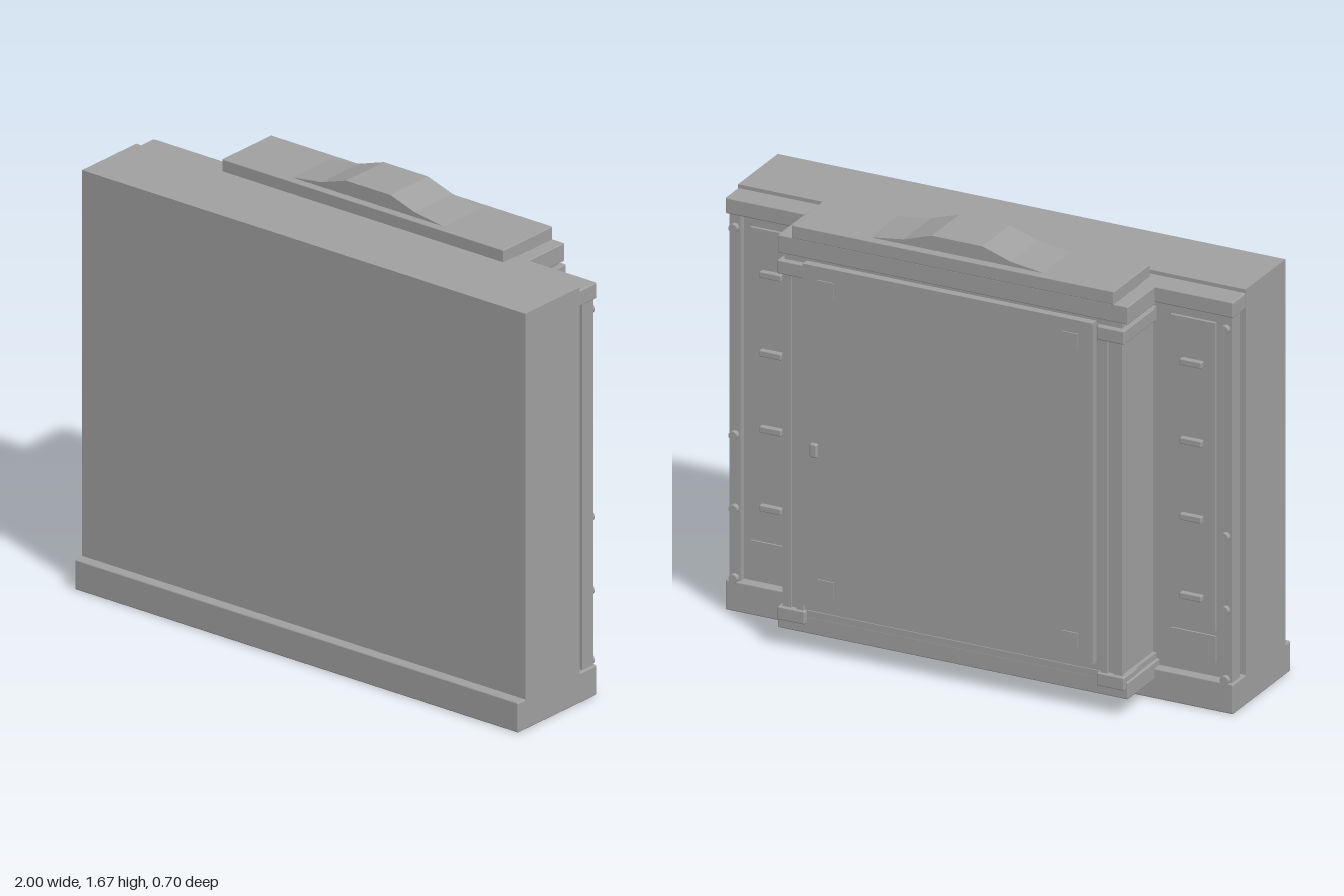
import * as THREE from 'three';
import { RoundedBoxGeometry } from 'three/addons/geometries/RoundedBoxGeometry.js';

export function createModel() {
  const model = new THREE.Group();
  model.name = 'wallCabinet';
  const grey = new THREE.MeshStandardMaterial({ color: 0xa0a0a0 });
  grey.name = 'grey';

  const add = (name, geometry) => {
    const mesh = new THREE.Mesh(geometry, grey);
    mesh.name = name;
    model.add(mesh);
    return mesh;
  };
  // Block given by its limits on each axis; radius softens the edges
  const block = (name, [x0, x1], [y0, y1], [z0, z1], radius = 0) => {
    const size = [x1 - x0, y1 - y0, z1 - z0];
    const g = radius ? new RoundedBoxGeometry(...size, 2, radius) : new THREE.BoxGeometry(...size);
    const mesh = add(name, g);
    mesh.position.set((x0 + x1) / 2, (y0 + y1) / 2, (z0 + z1) / 2);
    return mesh;
  };
  // Same block on both sides of the middle
  const pair = (name, [x0, x1], y, z, radius) => {
    block(name + 'Left', [x0, x1], y, z, radius);
    block(name + 'Right', [-x1, -x0], y, z, radius);
  };

  // Main wall, plinth and rear cornice
  block('wall', [-1, 1], [0.1, 1.583], [0.01, 0.31]);
  block('plinth', [-1, 1], [0, 0.115], [-0.087, 0.35], 0.006);
  block('rearCornice', [-1, 1], [1.51, 1.57], [-0.087, 0.012], 0.005);
  block('rearWall', [-0.975, 0.975], [0.11, 1.515], [-0.05, 0.012]);

  // Wings: edge posts, inset panels, grips and studs
  pair('edgePost', [0.945, 0.99], [0.11, 1.512], [-0.076, -0.016]);
  pair('wingPanel', [0.74, 0.915], [0.29, 1.465], [-0.062, -0.04]);
  pair('lowerWingPanel', [0.74, 0.915], [0.17, 0.27], [-0.057, -0.04]);
  for (const y of [0.41, 0.71, 1.0, 1.3])
    pair('wingGrip', [0.785, 0.87], [y - 0.012, y + 0.012], [-0.081, -0.055], 0.004);
  for (const y of [0.125, 0.39, 0.67, 1.46]) {
    for (const side of [-1, 1]) {
      const stud = add('stud', new THREE.CylinderGeometry(0.017, 0.017, 0.022, 12));
      stud.rotation.x = Math.PI / 2;
      stud.position.set(side * 0.967, y, -0.084);
    }
  }

  // Projecting centre cabinet with its ledges
  block('cabinetBody', [-0.665, 0.665], [0.12, 1.52], [-0.283, -0.04]);
  block('bottomLedge', [-0.69, 0.69], [0.072, 0.138], [-0.287, -0.04], 0.005);
  block('bottomStep', [-0.68, 0.68], [0.135, 0.16], [-0.287, -0.04]);
  block('upperBand', [-0.68, 0.68], [1.43, 1.48], [-0.289, -0.04]);
  block('upperLedge', [-0.69, 0.69], [1.5, 1.568], [-0.287, -0.04], 0.004);
  pair('upperCornerBlock', [0.575, 0.683], [1.428, 1.48], [-0.304, -0.07], 0.005);
  pair('lowerCornerBlock', [0.575, 0.683], [0.11, 0.16], [-0.304, -0.2], 0.005);
  pair('outerColumn', [0.635, 0.668], [0.155, 1.435], [-0.291, -0.27]);
  pair('innerColumn', [0.585, 0.612], [0.155, 1.435], [-0.295, -0.27]);

  // Top slab and shaped crest
  block('topSlab', [-0.635, 0.635], [1.565, 1.616], [-0.288, -0.016], 0.004);
  const crest = new THREE.Shape();
  crest.moveTo(-0.37, 1.612);
  for (const [x, y] of [[0.37, 1.612], [0.21, 1.634], [0.1, 1.67], [-0.1, 1.67], [-0.21, 1.634]])
    crest.lineTo(x, y);
  crest.closePath();
  add('crest', new THREE.ExtrudeGeometry(crest, { depth: 0.21, bevelEnabled: false }))
    .position.z = -0.256;

  // Door with corner plates and knob
  block('door', [-0.575, 0.567], [0.2, 1.5], [-0.333, -0.303]);
  for (const x of [-0.485, 0.475])
    for (const y of [0.28, 1.42])
      block('cornerPlate', [x - 0.032, x + 0.032], [y - 0.03, y + 0.03], [-0.338, -0.33]);
  block('doorKnob', [0.505, 0.533], [0.775, 0.827], [-0.35, -0.33], 0.006);
  block('latch', [0.04, 0.145], [0.41, 0.52], [-0.3, -0.28]);

  return model;
}
